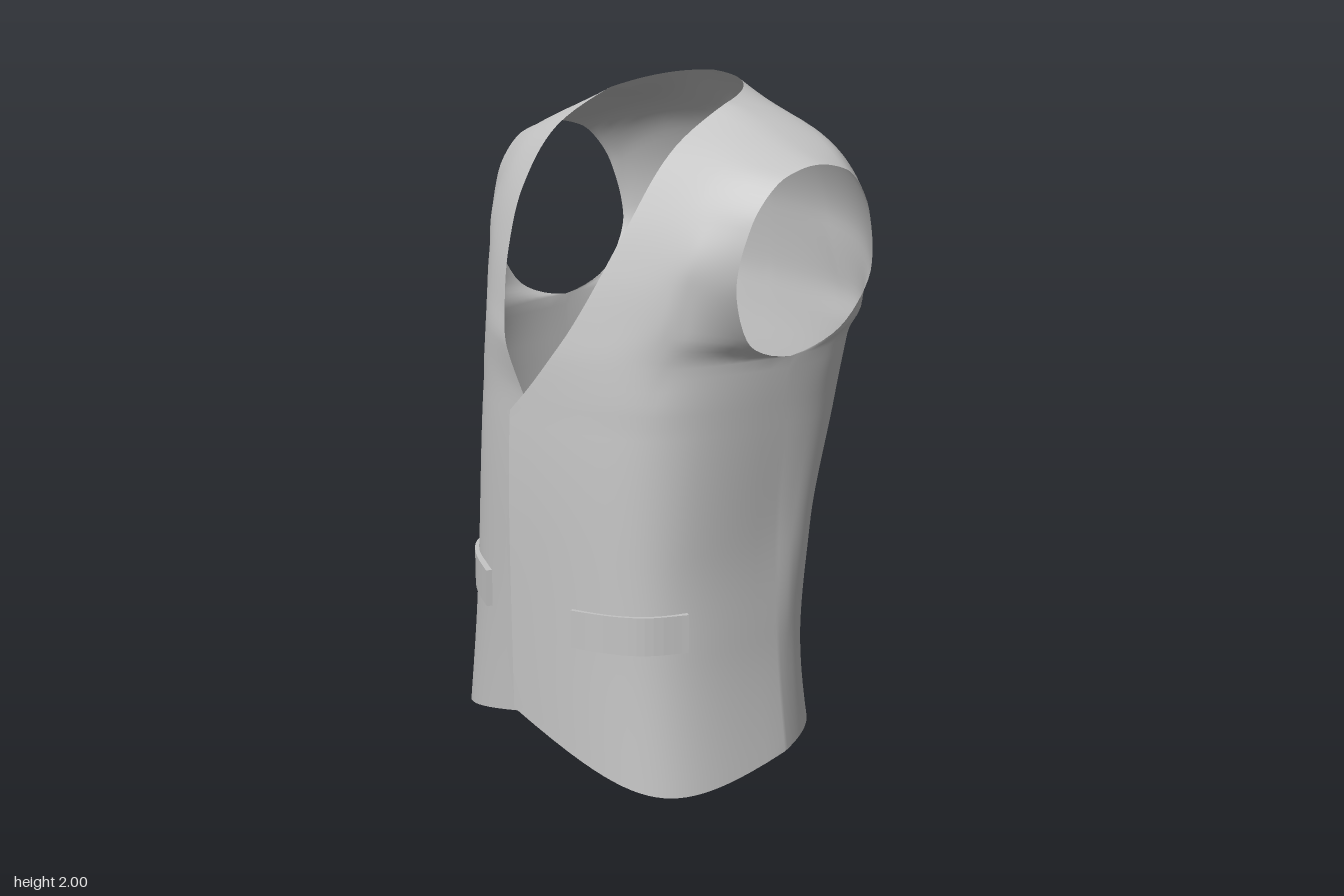
import * as THREE from 'three';
import { mergeGeometries, mergeVertices } from 'three/addons/utils/BufferGeometryUtils.js';

const V = (p) => new THREE.Vector3(...p);

// Guide lines of the left half, from the hem up to just below the shoulder seam
const levels = [0, 0.35, 0.7, 1.08, 1.11, 1.25, 1.36, 1.5, 1.68, 1.83, 1.95];
const ARMPIT = 5; // level where the armhole starts
const frontEdge = [[-0.03, 0.15, 0.49], [-0.03, 0.4, 0.493], [-0.03, 0.7, 0.495], [-0.03, 1.08, 0.485], [0, 1.11, 0.477],
  [0.1, 1.24, 0.442], [0.16, 1.34, 0.406], [0.225, 1.5, 0.343], [0.268, 1.68, 0.252], [0.277, 1.83, 0.133]];
const chest = [[0.57, -0.045, 0.42], [0.515, 0.4, 0.41], [0.495, 0.7, 0.4], [0.482, 1.09, 0.373], [0.481, 1.12, 0.368],
  [0.472, 1.255, 0.337], [0.46, 1.355, 0.305], [0.446, 1.5, 0.27], [0.44, 1.68, 0.2], [0.44, 1.82, 0.08]];
const sideSeam = [[0.55, 0.05, -0.08], [0.503, 0.4, -0.08], [0.488, 0.7, -0.08], [0.511, 1.085, -0.08], [0.514, 1.115, -0.08],
  [0.53, 1.255, -0.09]];
const armFront = [...sideSeam, [0.543, 1.31, 0.075], [0.572, 1.5, 0.155], [0.592, 1.66, 0.12], [0.605, 1.78, 0.01]];
const armBack = [...sideSeam, [0.545, 1.315, -0.265], [0.57, 1.48, -0.36], [0.59, 1.65, -0.325], [0.605, 1.78, -0.215]];
const blade = [[0.425, 0.06, -0.4], [0.473, 0.4, -0.332], [0.522, 0.7, -0.345], [0.545, 1.09, -0.445], [0.549, 1.12, -0.45],
  [0.565, 1.27, -0.478], [0.54, 1.385, -0.488], [0.44, 1.56, -0.48], [0.435, 1.79, -0.412], [0.35, 1.915, -0.295]];
const backMiddle = [[0, 0.06, -0.4], [0, 0.4, -0.332], [0, 0.7, -0.345], [0, 1.09, -0.445], [0, 1.12, -0.45],
  [0, 1.27, -0.478], [0, 1.39, -0.492], [0, 1.58, -0.482], [0, 1.8, -0.412], [0, 1.925, -0.335]];
const neckPoint = V([0.263, 1.94, -0.07]);
const shoulderPoint = V([0.607, 1.803, -0.1]);
const napeCurve = V([0.222, 1.99, -0.262]);
const nape = V([0, 2, -0.257]);

// Rounded curve from a to b pulled towards c with weight w
function conic(a, c, b, t, w) {
  const i = (1 - t) ** 2, j = 2 * w * t * (1 - t), k = t * t;
  return new THREE.Vector3().addScaledVector(a, i).addScaledVector(c, j).addScaledVector(b, k).divideScalar(i + j + k);
}

// Spline through values that never overshoots
function spline(xs, ys, x) {
  const n = xs.length - 1;
  const step = (i) => xs[i + 1] - xs[i];
  const slope = (i) => (ys[i + 1] - ys[i]) / step(i);
  const endTangent = (i, j) => {
    const m = ((2 * step(i) + step(j)) * slope(i) - step(i) * slope(j)) / (step(i) + step(j));
    return m * slope(i) > 0 ? Math.sign(m) * Math.min(Math.abs(m), 2.5 * Math.abs(slope(i))) : 0;
  };
  const tangent = (i) => {
    if (i === 0) return endTangent(0, 1);
    if (i === n) return endTangent(n - 1, n - 2);
    const a = slope(i - 1), b = slope(i);
    const wa = 2 * step(i) + step(i - 1), wb = step(i) + 2 * step(i - 1);
    return a * b > 0 ? (wa + wb) / (wa / a + wb / b) : 0;
  };
  let i = 0;
  while (i < n - 1 && x > xs[i + 1]) i++;
  const h = step(i), s = (x - xs[i]) / h;
  return ys[i] * (1 + 2 * s) * (1 - s) ** 2 + tangent(i) * h * s * (1 - s) ** 2
    + ys[i + 1] * s * s * (3 - 2 * s) + tangent(i + 1) * h * s * s * (s - 1);
}

// Cross-sections of the front and back panels
function frontSection(row, t, side) {
  if (row === levels.length - 1) return neckPoint.clone().lerp(shoulderPoint, t);
  const p = conic(V(frontEdge[row]), V(chest[row]), V(armFront[row]), t, 2);
  if (side < 0 && row < ARMPIT) {
    // the right front tucks under the left one
    p.z -= 0.025 * Math.max(0, 1 - Math.max(0, p.x) / 0.42);
    if (row < 3) p.x = Math.max(0, p.x);
  }
  return p;
}
function backSection(row, t) {
  if (row === levels.length - 1) {
    return t <= 0.5 ? shoulderPoint.clone().lerp(neckPoint, t * 2) : conic(neckPoint, napeCurve, nape, t * 2 - 1, 1);
  }
  return conic(V(armBack[row]), V(blade[row]), V(backMiddle[row]), t, 1.4);
}

// One panel, lofted through its cross-sections; the side edge turns sharply into the armhole
function panel(section, columns, side) {
  const heights = [];
  for (let i = 0; i < 36; i++) heights.push((levels[ARMPIT] * i) / 36);
  for (let i = 0; i <= 32; i++) heights.push(levels[ARMPIT] + ((levels.at(-1) - levels[ARMPIT]) * i) / 32);
  const pos = new Array(heights.length * (columns + 1) * 3);
  for (let c = 0; c <= columns; c++) {
    const u = c / columns;
    const keys = levels.map((_, row) => section(row, u, side));
    const nearSide = (section === frontSection ? u : 1 - u) ** 6;
    heights.forEach((v, r) => {
      const part = v < levels[ARMPIT] ? [0, ARMPIT + 1] : [ARMPIT, levels.length];
      const value = (axis) => {
        const ys = keys.map((k) => k[axis]);
        return THREE.MathUtils.lerp(spline(levels, ys, v), spline(levels.slice(...part), ys.slice(...part), v), nearSide);
      };
      const o = (r * (columns + 1) + c) * 3;
      pos[o] = side * value('x');
      pos[o + 1] = value('y');
      pos[o + 2] = value('z');
    });
  }
  const index = [];
  for (let r = 0; r < heights.length - 1; r++) {
    for (let c = 0; c < columns; c++) {
      const a = r * (columns + 1) + c, b = a + 1, d = a + columns + 1, e = d + 1;
      if (side > 0) index.push(a, b, e, a, e, d);
      else index.push(a, e, b, a, d, e);
    }
  }
  const g = new THREE.BufferGeometry();
  g.setAttribute('position', new THREE.Float32BufferAttribute(pos, 3));
  g.setIndex(index);
  return g;
}

// Upright strip of cloth following a plan line of [x, z] points
function strip(points, bottom, height, slope) {
  const line = new THREE.SplineCurve(points.map((p) => new THREE.Vector2(...p))).getPoints(14);
  const outer = line.map((p) => p.clone().multiplyScalar(1.012));
  const inner = line.map((p) => p.clone().multiplyScalar(0.975)).reverse();
  const g = new THREE.ExtrudeGeometry(new THREE.Shape([...outer, ...inner]), { depth: height, bevelEnabled: false });
  g.rotateX(Math.PI / 2).translate(0, bottom + height, 0);
  const p = g.attributes.position;
  for (let i = 0; i < p.count; i++) p.setY(i, p.getY(i) + slope * (Math.abs(p.getX(i)) - 0.21));
  g.computeVertexNormals();
  return g;
}

export function createModel() {
  const group = new THREE.Group();
  const cloth = new THREE.MeshStandardMaterial({ color: 0xc4c4c4, side: THREE.DoubleSide });
  cloth.name = 'grey cloth';
  const add = (name, geometry) => {
    const mesh = new THREE.Mesh(geometry, cloth);
    mesh.name = name;
    group.add(mesh);
    return mesh;
  };

  // Waistcoat shell: two fronts and two back halves, welded at the seams
  const panels = [1, -1].flatMap((side) => [panel(frontSection, 24, side), panel(backSection, 48, side)]);
  const shell = mergeVertices(mergeGeometries(panels), 1e-4);
  shell.computeVertexNormals();
  add('waistcoatShell', shell);

  // Welt pockets
  for (const side of [1, -1]) {
    const plan = [[0.21, 0.452], [0.33, 0.405], [0.42, 0.341], [0.48, 0.24]].map(([x, z]) => [side * x, z]);
    add(side > 0 ? 'leftPocket' : 'rightPocket', strip(plan, 0.412, 0.115, 0.06));
  }

  // Back strap and its buckle
  add('backStrap', strip([[0.26, -0.336], [0.13, -0.348], [0, -0.352], [-0.1, -0.35], [-0.18, -0.344]], 0.655, 0.065, 0));
  const rect = (x, y) => [[-x, -y], [x, -y], [x, y], [-x, y]].map((p) => new THREE.Vector2(...p));
  const frame = new THREE.Shape(rect(0.045, 0.042));
  frame.holes.push(new THREE.Path(rect(0.037, 0.034).reverse()));
  const buckle = add('buckle', new THREE.ExtrudeGeometry(frame, { depth: 0.02, bevelEnabled: false }));
  buckle.position.set(-0.1, 0.688, -0.37);
  buckle.rotation.set(0.12, 0.1, 0);

  return group;
}
